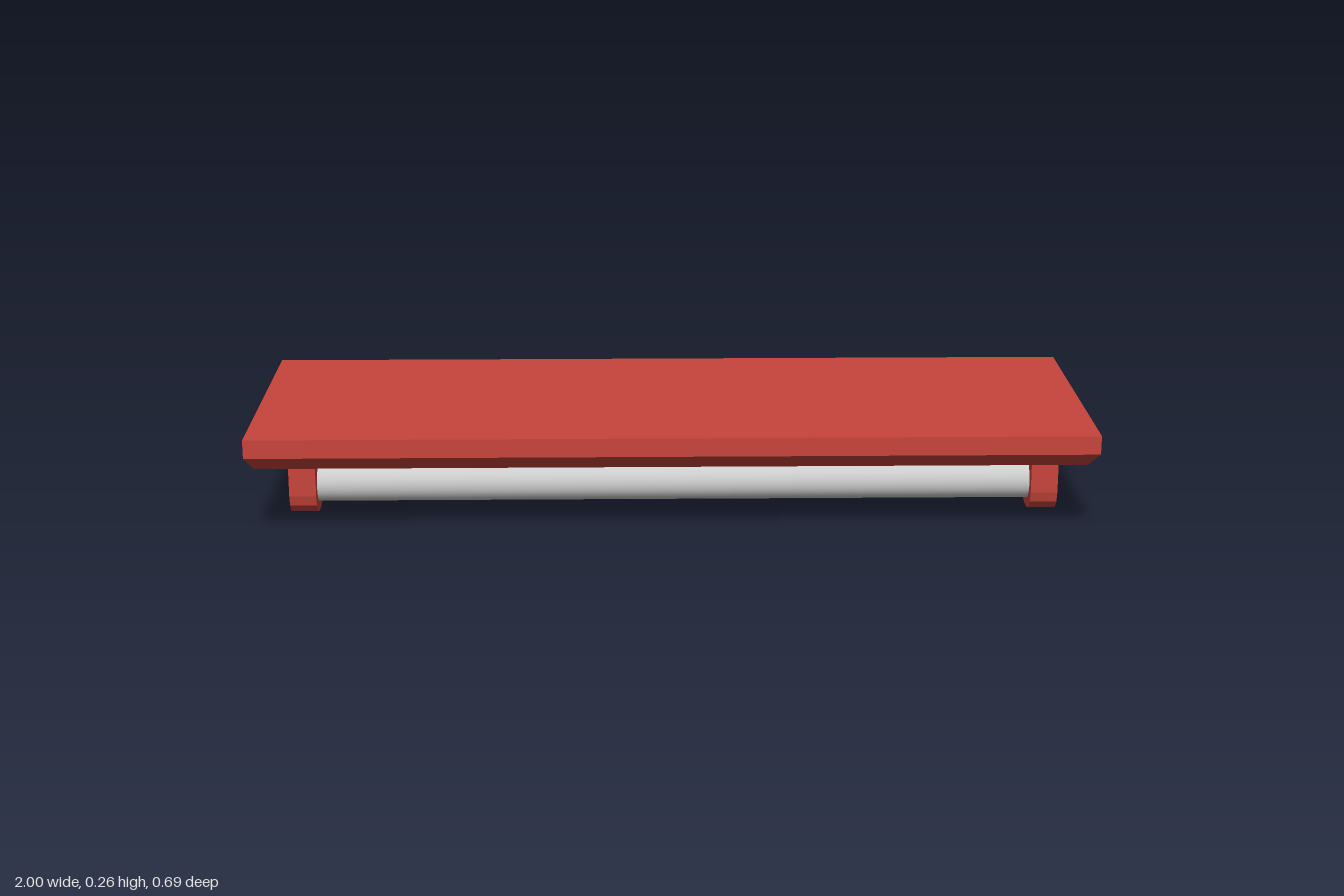
import * as THREE from 'three';

const red = new THREE.MeshStandardMaterial({ color: 0xc8443c, flatShading: true });
const grey = new THREE.MeshStandardMaterial({ color: 0xcccccc });

// Extrudes a symmetric (z, y) half profile along x, from x0 to x1
function extrudeAlongX(half, x0, x1) {
  const points = [
    ...half.map(([z, y]) => new THREE.Vector2(z, y)),
    ...half.map(([z, y]) => new THREE.Vector2(-z, y)).reverse(),
  ];
  const geometry = new THREE.ExtrudeGeometry(new THREE.Shape(points), { depth: x1 - x0, bevelEnabled: false });
  return geometry.rotateY(Math.PI / 2).translate(x0, 0, 0);
}

export function createModel() {
  const model = new THREE.Group();
  model.name = 'tubeLight';

  const add = (name, geometry, material, z = 0) => {
    const mesh = new THREE.Mesh(geometry, material);
    mesh.name = name;
    mesh.position.z = z;
    model.add(mesh);
  };

  // Housing: flat top, short upright rim, sloped underside
  add('housing', extrudeAlongX([[0.198, 0.139], [0.346, 0.212], [0.346, 0.257]], -1, 1), red);

  // End holders with faceted round bottoms
  const holder = [[0.015, 0], [0.045, 0.008], [0.065, 0.029], [0.0715, 0.055], [0.0715, 0.139]];
  const rightHolder = extrudeAlongX(holder, -0.925, -0.86);
  const leftHolder = extrudeAlongX(holder, 0.872, 0.937);

  // Light tube spanning between the holders
  const tube = new THREE.CylinderGeometry(0.048, 0.048, 1.732, 32)
    .rotateZ(Math.PI / 2).translate(0.006, 0.07, 0);

  for (const [prefix, z] of [['front', 0.084], ['back', -0.093]]) {
    add(prefix + 'RightHolder', rightHolder, red, z);
    add(prefix + 'LeftHolder', leftHolder, red, z);
    add(prefix + 'Tube', tube, grey, z);
  }
  return model;
}
